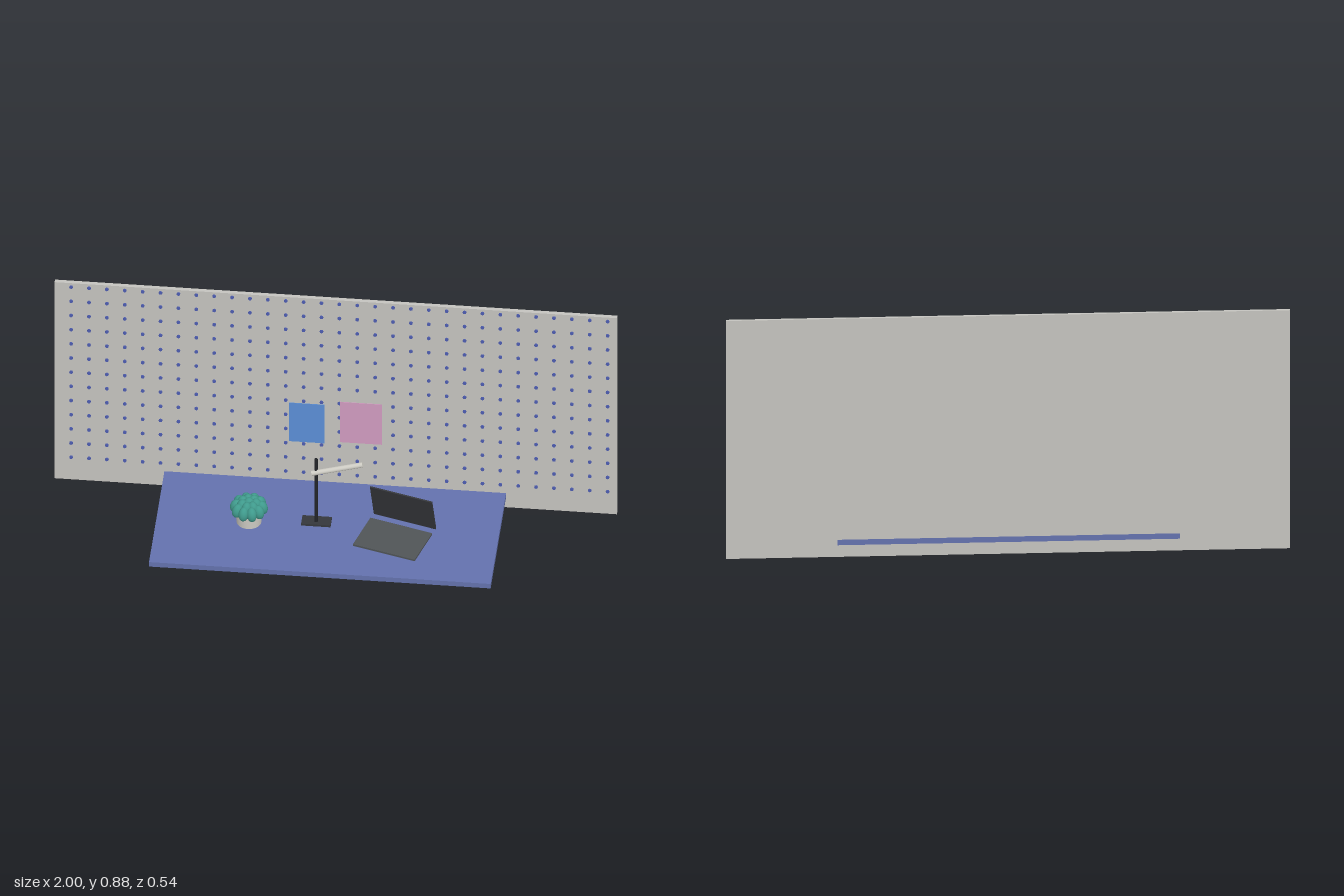
import * as THREE from 'three';
import { mergeGeometries } from 'three/addons/utils/BufferGeometryUtils.js';

const paint = (name, color) => {
  const m = new THREE.MeshStandardMaterial({ color });
  m.name = name;
  return m;
};

export function createModel() {
  const model = new THREE.Group();
  model.name = 'deskWithPegboard';

  const wallGrey = paint('wallGrey', 0xc4c3be);
  const deskBlue = paint('deskBlue', 0x6371ad);
  const pegBlue = paint('pegBlue', 0x4d5cb0);
  const posterBlue = paint('posterBlue', 0x5b8ed6);
  const posterPink = paint('posterPink', 0xd09bc0);
  const leafTeal = paint('leafTeal', 0x3f9a8c);
  const paleGrey = paint('paleGrey', 0xd0cec6);
  const slate = paint('slate', 0x505457);
  const charcoal = paint('charcoal', 0x35373b);
  const black = paint('black', 0x222428);

  const add = (name, geometry, material, x = 0, y = 0, z = 0, parent = model) => {
    const mesh = new THREE.Mesh(geometry, material);
    mesh.name = name;
    mesh.position.set(x, y, z);
    parent.add(mesh);
    return mesh;
  };
  const box = (w, h, d) => new THREE.BoxGeometry(w, h, d);

  // Back panel and desk top, whose rear edge runs through the panel
  add('pegboardPanel', box(2, 0.88, 0.015), wallGrey, 0, 0.44, -0.2625);
  add('deskTop', box(1.215, 0.02, 0.5404), deskBlue, -0.002, 0.053, -0.0002);

  // Grid of round pegs
  const pegs = [];
  const pitch = 0.0636;
  for (let row = 0; row < 13; row++) {
    for (let col = 0; col < 31; col++) {
      const peg = new THREE.CylinderGeometry(0.0065, 0.0065, 0.005, 8);
      peg.rotateX(Math.PI / 2);
      peg.translate(-0.941 + col * pitch, 0.101 + row * pitch, -0.2525);
      pegs.push(peg);
    }
  }
  add('pegs', mergeGeometries(pegs), pegBlue);

  // Two sheets pinned in front of the pegs
  add('bluePoster', box(0.126, 0.172, 0.002), posterBlue, -0.103, 0.326, -0.2485);
  add('pinkPoster', box(0.15, 0.18, 0.002), posterPink, 0.09, 0.34, -0.2485);

  // Desk lamp
  const lamp = new THREE.Group();
  lamp.name = 'lamp';
  model.add(lamp);
  add('lampBase', box(0.105, 0.008, 0.05), charcoal, -0.044, 0.067, -0.02, lamp);
  add('lampPole', new THREE.CylinderGeometry(0.006, 0.006, 0.283, 16), black, -0.045, 0.2085, -0.015, lamp);
  const arm = add('lampArm', new THREE.CylinderGeometry(0.0095, 0.0095, 0.188, 20), paleGrey, 0.031, 0.314, -0.0115, lamp);
  arm.rotation.z = -Math.PI / 2 + 0.285;

  // Laptop: origin at the foot of the lid
  const laptop = new THREE.Group();
  laptop.name = 'laptop';
  laptop.position.set(0.267, 0.063, -0.057);
  laptop.rotation.y = -0.283;
  model.add(laptop);
  add('laptopBase', box(0.236, 0.007, 0.165), slate, 0, 0.0035, 0.1175, laptop);
  const lid = add('laptopLid', box(0.236, 0.15, 0.006).translate(0, 0.075, 0), charcoal, 0, 0.0015, 0, laptop);
  lid.rotation.x = 0.247;

  // Potted plant with rings of rounded leaves
  const plant = new THREE.Group();
  plant.name = 'plant';
  plant.position.set(-0.282, 0.063, 0.001);
  model.add(plant);
  add('pot', new THREE.CylinderGeometry(0.048, 0.044, 0.052, 28), paleGrey, 0, 0.026, 0, plant);
  const leafRings = [
    { count: 10, radius: 0.047, y: 0.066, height: 0.027, tilt: 0.25 },
    { count: 7, radius: 0.026, y: 0.077, height: 0.025, tilt: 0.15 },
    { count: 1, radius: 0, y: 0.081, height: 0.024, tilt: 0 },
  ];
  for (const { count, radius, y, height, tilt } of leafRings) {
    for (let i = 0; i < count; i++) {
      const leaf = new THREE.SphereGeometry(1, 18, 12);
      leaf.scale(0.02, height, 0.018);
      leaf.rotateZ(tilt);
      leaf.translate(radius, y, 0);
      leaf.rotateY((i / count) * Math.PI * 2);
      add('leaf', leaf, leafTeal, 0, 0, 0, plant);
    }
  }

  return model;
}
